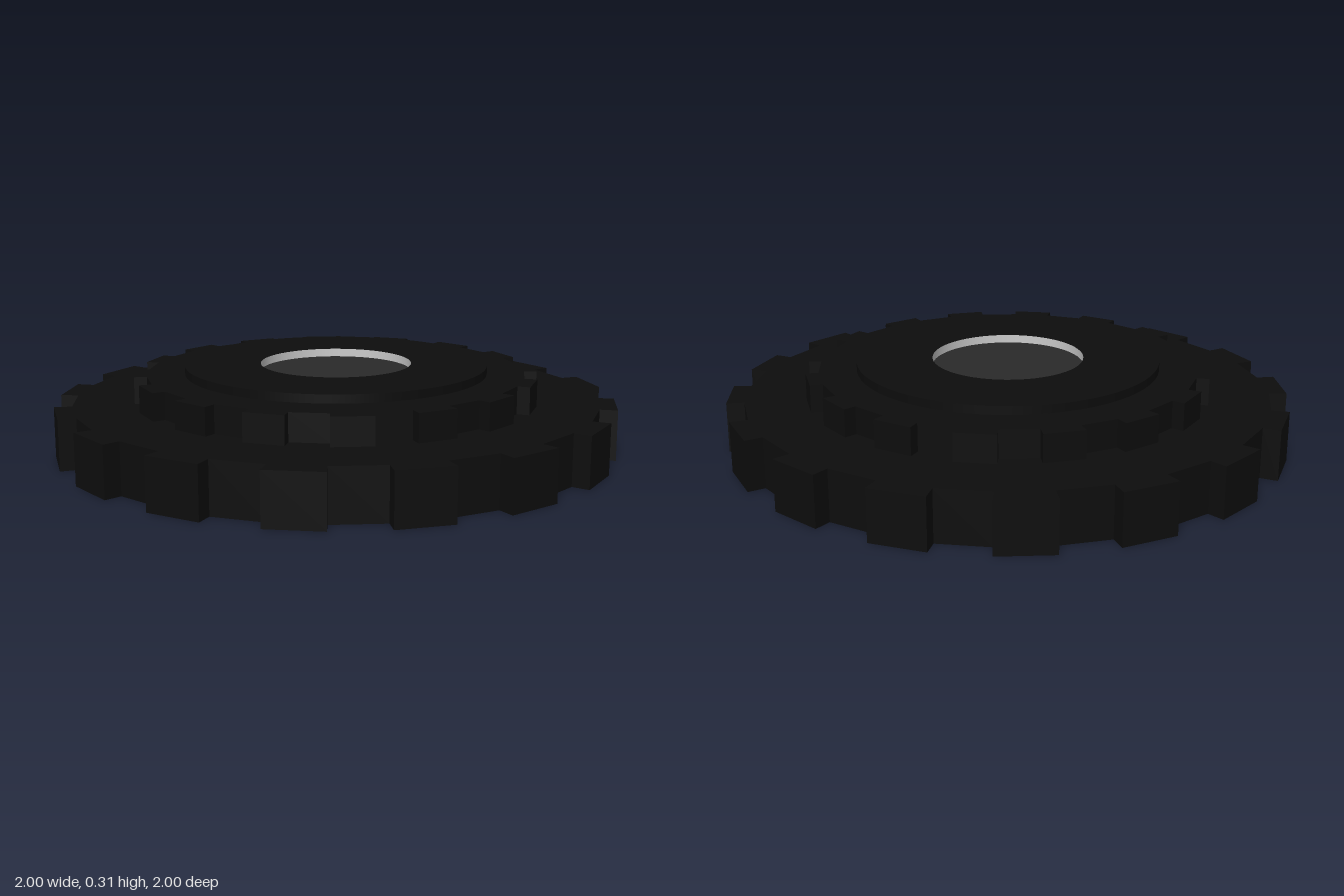
import * as THREE from 'three';

const TEETH = 16;
const BORE = 0.27, COLLAR = 0.54;
const Y_LOWER = 0.18, Y_UPPER = 0.277, Y_TOP = 0.307;

const mat = (color, side = THREE.FrontSide) => new THREE.MeshStandardMaterial({ color, side });

// Toothed disc: alternating wide and narrow sectors with radial flanks
function gearGeometry(outer, inner, height, phase) {
  const step = Math.PI / TEETH;
  const shape = new THREE.Shape();
  for (let i = 0; i < TEETH * 2; i++) {
    const r = (i + phase) % 2 === 0 ? outer : inner;
    for (const a of [i * step, (i + 1) * step]) {
      const x = r * Math.cos(a), y = r * Math.sin(a);
      if (i === 0 && a === 0) shape.moveTo(x, y);
      else shape.lineTo(x, y);
    }
  }
  shape.closePath();
  return new THREE.ExtrudeGeometry(shape, { depth: height, bevelEnabled: false }).rotateX(-Math.PI / 2);
}

export function createModel() {
  const group = new THREE.Group();
  const black = mat(0x0d0d0d);
  const add = (name, geometry, material, y, parent = group) => {
    const mesh = new THREE.Mesh(geometry, material);
    mesh.name = name;
    mesh.position.y = y;
    parent.add(mesh);
  };

  // Two stacked gears, the upper one offset by half a tooth pitch
  add('lowerGear', gearGeometry(1, 0.937, Y_LOWER, 0), black, 0);
  add('upperGear', gearGeometry(0.72, 0.675, Y_UPPER - Y_LOWER, 1), black, Y_LOWER);

  // Raised collar around a shallow round recess
  const collar = new THREE.Group();
  collar.name = 'collar';
  group.add(collar);
  const h = Y_TOP - Y_UPPER, mid = (Y_TOP + Y_UPPER) / 2;
  add('collarRim', new THREE.CylinderGeometry(COLLAR, COLLAR, h, 64, 1, true), black, mid, collar);
  add('collarTop', new THREE.RingGeometry(BORE, COLLAR, 64).rotateX(-Math.PI / 2), black, Y_TOP, collar);
  add('recessWall', new THREE.CylinderGeometry(BORE, BORE, h, 64, 1, true),
    mat(0xcccccc, THREE.BackSide), mid, collar);
  add('recessFloor', new THREE.CircleGeometry(BORE, 64).rotateX(-Math.PI / 2),
    mat(0x2a2a2a), Y_UPPER + 0.001, collar);

  return group;
}
